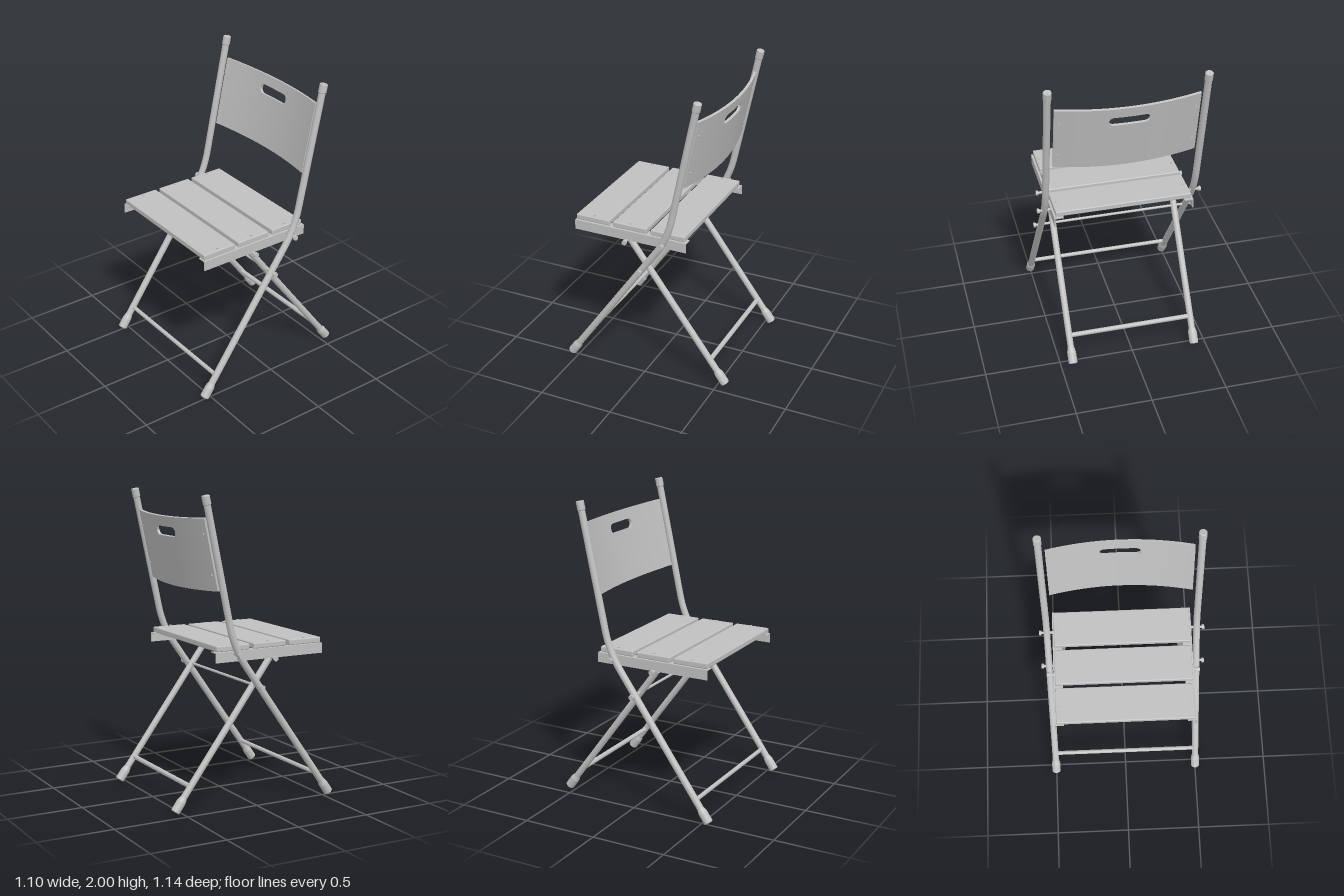
import * as THREE from 'three';
import { RoundedBoxGeometry } from 'three/addons/geometries/RoundedBoxGeometry.js';

const V = (x, y, z) => new THREE.Vector3(x, y, z);
const UP = V(0, 1, 0);

export function createModel() {
  const chair = new THREE.Group();
  chair.name = 'foldingChair';
  const grey = new THREE.MeshStandardMaterial({ color: 0xc0c0c0 });
  grey.name = 'light grey';

  function add(name, geometry, parent = chair) {
    const mesh = new THREE.Mesh(geometry, grey);
    mesh.name = name;
    parent.add(mesh);
    return mesh;
  }

  // Round bar between two points
  function bar(name, a, b, r, sides = 20) {
    const dir = b.clone().sub(a);
    const mesh = add(name, new THREE.CylinderGeometry(r, r, dir.length(), sides));
    mesh.position.copy(a).add(b).multiplyScalar(0.5);
    mesh.quaternion.setFromUnitVectors(UP, dir.normalize());
    return mesh;
  }

  // Solid of revolution standing at a point and pointing along a direction
  function turned(name, profile, at, dir) {
    const pts = profile.map(([r, y]) => new THREE.Vector2(r, y));
    const parts = new THREE.Group();
    parts.name = name;
    // One lathe per segment keeps the edges crisp
    for (let i = 0; i < pts.length - 1; i++) {
      add(name + 'Face', new THREE.LatheGeometry([pts[i], pts[i + 1]], 24), parts);
    }
    parts.position.copy(at);
    parts.quaternion.setFromUnitVectors(UP, dir.clone().normalize());
    chair.add(parts);
  }

  const footProfile = [[0, 0], [0.026, 0], [0.03, 0.005], [0.03, 0.075], [0.023, 0.105]];
  const topProfile = [[0.0225, 0], [0.026, 0.004], [0.026, 0.056], [0.022, 0.06], [0, 0.06]];

  for (const s of [1, -1]) {
    // Long bent leg that rises into the back post
    const x = 0.5 * s;
    const foot = V(x, 0.018, 0.549), bendStart = V(x, 0.93, -0.091);
    const bend = V(x, 1.045, -0.171), bendEnd = V(x, 1.19, -0.201), top = V(x, 1.995, -0.371);
    const path = new THREE.CurvePath();
    path.add(new THREE.LineCurve3(foot, bendStart));
    path.add(new THREE.QuadraticBezierCurve3(bendStart, bend, bendEnd));
    path.add(new THREE.LineCurve3(bendEnd, top));
    add('frontLegAndBackPost', new THREE.TubeGeometry(path, 80, 0.0225, 20));
    turned('frontFoot', footProfile, foot, bendStart.clone().sub(foot));
    const postDir = top.clone().sub(bendEnd).normalize();
    turned('postCap', topProfile, top.clone().addScaledVector(postDir, -0.06), postDir);

    // Straight crossing leg
    const rearFoot = V(0.42 * s, 0.018, -0.549), rearTop = V(0.42 * s, 0.945, 0.135);
    bar('rearLeg', rearFoot, rearTop, 0.0215);
    turned('rearFoot', footProfile, rearFoot, rearTop.clone().sub(rearFoot));

    // Angle rail under the seat
    add('railWeb', new THREE.BoxGeometry(0.006, 0.066, 0.79)).position.set(0.46 * s, 0.983, 0.115);
    add('railFlange', new THREE.BoxGeometry(0.06, 0.006, 0.79)).position.set(0.433 * s, 1.013, 0.115);
  }

  // Cross bars and pivot rods: name, half width, y, z, radius
  const rods = [
    ['frontCrossBar', 0.49, 0.155, 0.455, 0.014],
    ['rearCrossBar', 0.41, 0.168, -0.437, 0.016],
    ['seatPivotRod', 0.54, 1.0, -0.145, 0.009],
    ['legPivotRod', 0.54, 0.78, 0.013, 0.009],
    ['seatRestRod', 0.495, 0.95, 0.135, 0.009],
  ];
  for (const [name, w, y, z, r] of rods) {
    bar(name, V(-w, y, z), V(w, y, z), r, 16);
    if (r > 0.01) continue;
    for (const s of [1, -1]) {
      bar(name + 'Head', V((w - 0.004) * s, y, z), V((w + 0.011) * s, y, z), 0.017, 16);
    }
  }

  // Seat slats with their screws
  for (const z of [0.385, 0.12, -0.147]) {
    add('seatSlat', new RoundedBoxGeometry(0.904, 0.037, 0.239, 3, 0.007)).position.set(0, 1.0355, z);
    for (const s of [1, -1]) {
      bar('slatScrew', V(0.428 * s, 1.04, z), V(0.428 * s, 1.06, z), 0.009, 12);
    }
  }

  // Curved backrest, tilted with the posts
  const back = new THREE.Group();
  back.name = 'backrest';
  back.position.set(0, 1.63, -0.294);
  back.rotation.x = -Math.atan(0.2112);
  chair.add(back);

  const halfW = 0.46, halfH = 0.232, thick = 0.018, sag = 0.056;
  const slotY = 0.133, slotR = 0.031, slotHalf = 0.13;
  const bow = (x) => -sag * (1 - (x / halfW) ** 2);
  const slotRise = (x) => {
    const d = Math.max(0, Math.abs(x) - (slotHalf - slotR));
    return Math.sqrt(Math.max(0, slotR * slotR - d * d));
  };

  // Columns, packed closely round the ends of the slot
  const half = [0, 0.033, 0.066];
  for (let i = 0; i <= 8; i++) half.push(slotHalf - slotR + slotR * Math.sin(i * Math.PI / 16));
  for (let i = 1; i <= 8; i++) half.push(slotHalf + (halfW - slotHalf) * i / 8);
  const columns = [...half.slice(1).reverse().map((x) => -x), ...half];

  for (const side of [1, -1]) {
    const n = columns.length - 1;
    const g = new THREE.BoxGeometry(n, 2, 2, n, 1, 1);
    const p = g.attributes.position;
    for (let i = 0; i < p.count; i++) {
      const x = columns[Math.round(p.getX(i) + n / 2)];
      const outer = p.getY(i) * side > 0;
      const y = outer ? side * halfH : slotY + side * slotRise(x);
      p.setXYZ(i, x, y, bow(x) - (p.getZ(i) > 0 ? 0 : thick));
    }
    g.computeVertexNormals();
    add(side > 0 ? 'backrestUpper' : 'backrestLower', g, back);
  }

  // Screws on the rear of the backrest
  for (const x of [-0.43, 0.43]) {
    for (const y of [-0.13, 0.13]) {
      const screw = add('backrestScrew', new THREE.CylinderGeometry(0.008, 0.008, 0.01, 12), back);
      screw.rotation.x = Math.PI / 2;
      screw.position.set(x, y, bow(x) - thick);
    }
  }
  return chair;
}
